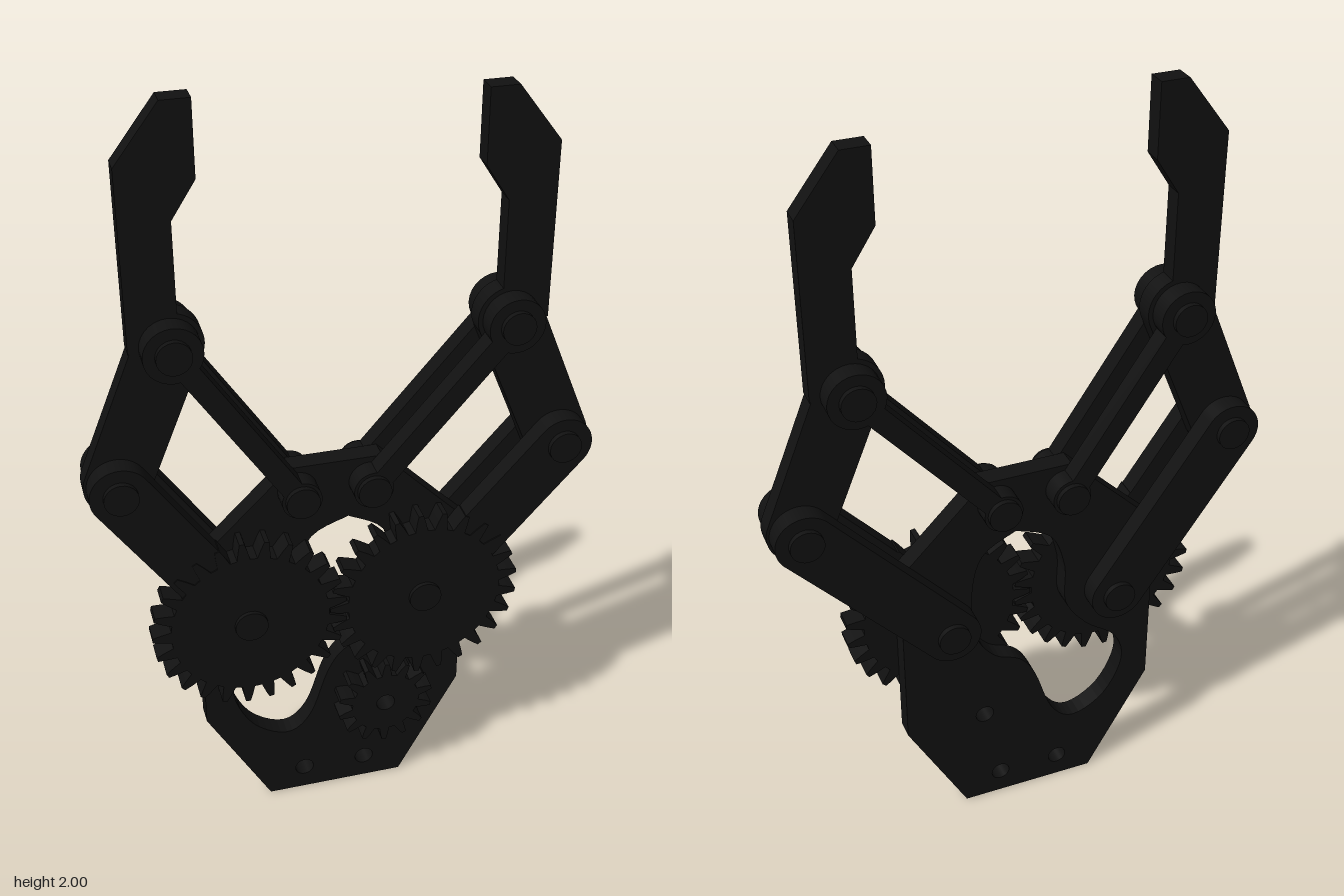
import * as THREE from 'three';

const material = new THREE.MeshStandardMaterial({ color: 0x111111 });
const V = (x, y) => new THREE.Vector2(x, y);

export function createModel() {
  const model = new THREE.Group();
  model.name = 'gripper';

  function add(name, geometry) {
    const mesh = new THREE.Mesh(geometry, material);
    mesh.name = name;
    model.add(mesh);
    return mesh;
  }

  // Flat part cut from a shape, spanning z0 to z1
  function slab(name, shape, z0, z1) {
    const g = new THREE.ExtrudeGeometry(shape, { depth: z1 - z0, bevelEnabled: false, curveSegments: 24 });
    return add(name, g.translate(0, 0, z0));
  }

  function roundHole(x, y, r) {
    return new THREE.Path().absarc(x, y, r, 0, Math.PI * 2, true);
  }

  // Bar with rounded ends from a to b
  function barShape(a, b, r) {
    const t = Math.atan2(b.y - a.y, b.x - a.x);
    const s = new THREE.Shape();
    s.absarc(b.x, b.y, r, t - Math.PI / 2, t + Math.PI / 2, false);
    s.absarc(a.x, a.y, r, t + Math.PI / 2, t + Math.PI * 1.5, false);
    s.closePath();
    return s;
  }

  // Spur gear with tapered teeth
  function gearShape(c, teeth, root, outer, phase) {
    const pts = [];
    const step = (Math.PI * 2) / teeth;
    const profile = [[-0.32, root], [-0.2, root + (outer - root) * 0.55], [-0.1, outer],
      [0.1, outer], [0.2, root + (outer - root) * 0.55], [0.32, root]];
    for (let i = 0; i < teeth; i++) {
      for (const [f, r] of profile) {
        const a = phase + (i + f) * step;
        pts.push(V(c.x + r * Math.cos(a), c.y + r * Math.sin(a)));
      }
    }
    return new THREE.Shape(pts);
  }

  function bolt(name, p) {
    const g = new THREE.CylinderGeometry(0.042, 0.042, 0.182, 24).rotateX(Math.PI / 2);
    add(name, g).position.set(p.x, p.y, 0);
  }

  // Base plate with S-shaped cut-out and screw holes
  const plate = new THREE.Shape([
    V(-0.21, 0), V(0.157, 0), V(0.317, 0.3), V(0.317, 0.83),
    V(0.095, 1.055), V(-0.138, 1.055), V(-0.376, 0.82), V(-0.376, 0.3),
  ]);
  const cutOut = new THREE.SplineCurve([
    V(0.01, 0.89), V(-0.085, 0.845), V(-0.125, 0.74), V(-0.13, 0.62), V(-0.19, 0.53), V(-0.275, 0.46),
    V(-0.3, 0.37), V(-0.25, 0.26), V(-0.16, 0.21), V(-0.095, 0.26), V(-0.045, 0.4),
    V(0, 0.465), V(0.07, 0.5), V(0.12, 0.58), V(0.13, 0.72), V(0.1, 0.835), V(0.01, 0.89),
  ]);
  plate.holes.push(new THREE.Path(cutOut.getPoints(80).slice(0, -1)));
  for (const [x, y] of [[-0.113, 0.07], [0.056, 0.07], [0.1, 0.3]]) plate.holes.push(roundHole(x, y, 0.025));
  slab('basePlate', plate, -0.026, 0.026);

  // Small drive gear
  const drive = gearShape(V(0.1, 0.3), 14, 0.092, 0.13, 0.2);
  drive.holes.push(roundHole(0.1, 0.3, 0.025));
  slab('driveGear', drive, 0.026, 0.08);

  // Both linkages; the left one sits slightly lower
  for (const [side, s, dy] of [['right', -1, 0], ['left', 1, -0.04]]) {
    const gear = V(-0.029 + s * 0.228, 0.642);
    const pivot = V(-0.029 + s * 0.09, 0.99);
    const elbow = V(s * 0.552, 1.077 + dy);
    const knuckle = V(s * 0.408, 1.43 + dy);

    slab(side + 'Gear', gearShape(gear, 25, 0.203, 0.25, Math.PI), 0.026, 0.08);

    // Links run in pairs, in front of and behind the plate
    for (const [face, z0, z1] of [['Front', 0.026, 0.077], ['Back', -0.077, -0.026]]) {
      slab(side + face + 'DriveArm', barShape(gear, elbow, 0.074), z0, z1);
      slab(side + face + 'GuideLink', barShape(pivot, knuckle, 0.027), z0, z1);
      for (const p of [pivot, knuckle]) {
        const r = p === pivot ? 0.05 : 0.07;
        const eye = new THREE.CylinderGeometry(r, r, z1 - z0, 28).rotateX(Math.PI / 2);
        add(side + face + 'LinkEye', eye).position.set(p.x, p.y, (z0 + z1) / 2);
      }
    }

    // Finger: slanted lower part and upright jaw
    slab(side + 'FingerBase', barShape(elbow, knuckle, 0.081), -0.025, 0.025);
    const jaw = [[0.397, 2], [0.328, 2], [0.328, 1.82], [0.386, 1.73], [0.386, 1.42], [0.503, 1.42], [0.503, 1.862]];
    slab(side + 'FingerJaw', new THREE.Shape(jaw.map(([x, y]) => V(s * x, y + dy))), -0.025, 0.025);

    bolt(side + 'GearBolt', gear);
    bolt(side + 'PivotBolt', pivot);
    bolt(side + 'ElbowBolt', elbow);
    bolt(side + 'KnuckleBolt', knuckle);
  }
  return model;
}
